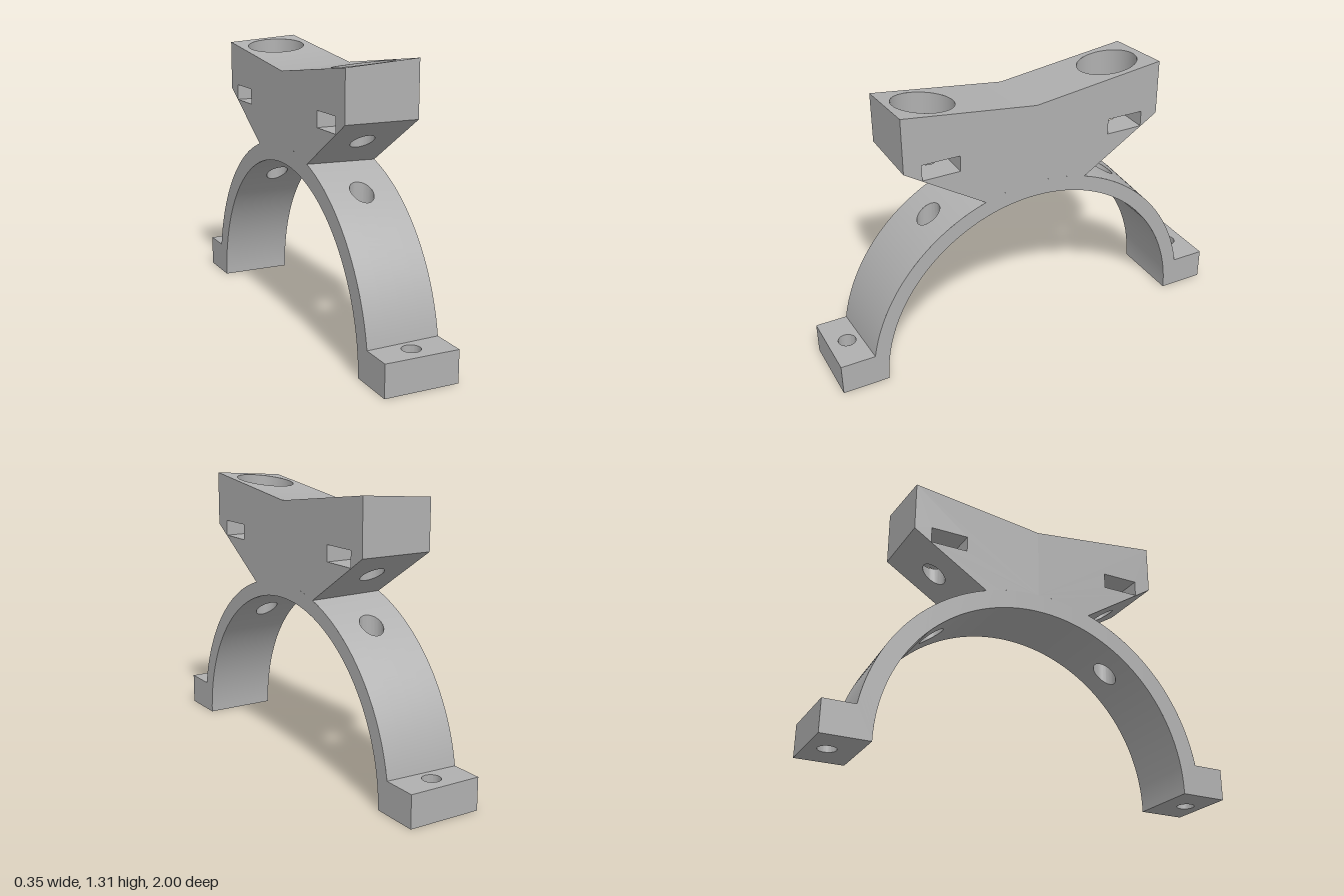
import * as THREE from 'three';
import { mergeGeometries, toCreasedNormals } from 'three/addons/utils/BufferGeometryUtils.js';

const W = 0.175;                 // half width
const RI = 0.775;                // inner arch radius
const FOOT = 0.15;               // foot height
const BOLT = 0.466, FOOT_BOLT = 0.908; // hole centres along z
const R_BOLT = 0.054, R_BORE = 0.14, R_FOOT = 0.042;
const BORE_Y = 1.13;             // counterbore floor
const S0 = 0.376, S1 = 0.556, SY0 = 1.0, SY1 = 1.075; // slot
const END = 0.64, M = 0.6316, C = 0.646; // head end and underside line

const lerp = THREE.MathUtils.lerp;
const inner = () => RI;
const outer = (x) => 0.8555 - 0.043 * x; // outside tapers slightly across the width
const arcY = (R) => (x, z) => Math.sqrt(Math.max(0, R(x) ** 2 - z * z));
const under = (x, z) => M * z + C;
const top = (x, z) => 1.2175 + 0.0714 * x + 0.125 * z;
const flat = (y) => () => y;
const footZ = (x) => Math.sqrt(outer(x) ** 2 - FOOT ** 2);
const neckZ = (x) => { // where the head underside meets the arch
  const a = 1 + M * M, b = 2 * M * C, c = C * C - outer(x) ** 2;
  return (-b + Math.sqrt(b * b - 4 * a * c)) / (2 * a);
};
const UP = [0, 1, 0], DOWN = [0, -1, 0], OUT = [0, 0, 1], IN = [0, 0, -1];

function positions(list) {
  const g = new THREE.BufferGeometry();
  g.setAttribute('position', new THREE.Float32BufferAttribute(list, 3));
  return g;
}

// Grid of points fn(u, v), wound so that its first face looks toward `out`
function surface(fn, nu, nv, out) {
  const tris = [];
  for (let i = 0; i < nu; i++) for (let j = 0; j < nv; j++) {
    const [a, b, c, d] = [[i, j], [i + 1, j], [i + 1, j + 1], [i, j + 1]].map(([p, q]) => fn(p / nu, q / nv));
    tris.push([a, b, c], [a, c, d]);
  }
  const [a, b, c] = tris[0].map((p) => new THREE.Vector3(...p));
  const n = b.sub(a).cross(c.sub(a));
  if (n.dot(new THREE.Vector3(...out)) < 0) tris.forEach((t) => t.reverse());
  return positions(tris.flat(2));
}

// Full-width sheet between two lines, each given as x -> [y, z]
const sheet = (a, b, out) => surface((u, v) => {
  const x = lerp(-W, W, u), p = a(x), q = b(x);
  return [x, lerp(p[0], q[0], v), lerp(p[1], q[1], v)];
}, 4, 1, out);

// Full-width band of the height rule y(x, z) between two z lines
const band = (y, z0, z1, out) => sheet((x) => [y(x, z0(x)), z0(x)], (x) => [y(x, z1(x)), z1(x)], out);

// Full-width curved band of a cylinder of radius R(x)
const arcBand = (R, z0, z1, out, n) => surface((u, v) => {
  const x = lerp(-W, W, u), r = R(x);
  const a = lerp(Math.acos(Math.min(1, z0(x) / r)), Math.acos(Math.min(1, z1(x) / r)), v);
  return [x, r * Math.sin(a), r * Math.cos(a)];
}, 4, n, out);

// Full-width patch with a round hole, lying on y(x, z)
function holed(y, z0, z1, zc, r, out) {
  const corners = [[W, z0], [W, z1], [-W, z1], [-W, z0]];
  return surface((u, v) => {
    const s = u * 4, k = Math.floor(s) % 4, f = s - Math.floor(s);
    const p = corners[k], q = corners[(k + 1) % 4];
    const ox = lerp(p[0], q[0], f), oz = lerp(p[1], q[1], f);
    const a = Math.atan2(oz - zc, ox);
    const x = lerp(r * Math.cos(a), ox, v), z = lerp(zc + r * Math.sin(a), oz, v);
    return [x, y(x, z), z];
  }, 64, 5, out);
}

// Vertical hole wall between two height rules
const wall = (zc, r, y0, y1) => surface((u, v) => {
  const a = u * Math.PI * 2, x = r * Math.cos(a), z = zc + r * Math.sin(a);
  return [x, lerp(y0(x, z), y1(x, z), v), z];
}, 48, 1, [-1, 0, 0]);

// Flat side face of the head at x, with the slot opening
function headSide(x) {
  const n = neckZ(x), shape = new THREE.Shape();
  shape.moveTo(0, top(x, 0)).lineTo(0, outer(x));
  for (let i = 1; i <= 8; i++) shape.lineTo(n * i / 8, arcY(outer)(x, n * i / 8));
  shape.lineTo(END, under(x, END)).lineTo(END, top(x, END)).closePath();
  shape.holes.push(new THREE.Path().moveTo(S0, SY0).lineTo(S1, SY0).lineTo(S1, SY1).lineTo(S0, SY1).closePath());
  const p = new THREE.ShapeGeometry(shape).toNonIndexed().attributes.position;
  const pts = [];
  for (let i = 0; i < p.count; i++) pts.push([x, p.getY(i), p.getX(i)]);
  if (x > 0) for (let i = 0; i < pts.length; i += 3) [pts[i], pts[i + 2]] = [pts[i + 2], pts[i]];
  return positions(pts.flat());
}

// Side face of the arch at x
const archSide = (x) => surface((u, v) => {
  const R = outer(x), h = Math.PI / 2;
  const ai = lerp(0, h, u), ao = lerp(Math.asin(FOOT / R), h, u);
  return [x, lerp(RI * Math.sin(ai), R * Math.sin(ao), v), lerp(RI * Math.cos(ai), R * Math.cos(ao), v)];
}, 40, 1, [x, 0, 0]);

// Side face of a foot at x
const footSide = (x) => surface((u, v) => [x, v * FOOT, lerp(lerp(RI, footZ(x), v), 1, u)], 1, 1, [x, 0, 0]);

// Mirror front pieces to the back
function mirrored(g) {
  const p = g.attributes.position, list = [];
  for (let i = 0; i < p.count; i += 3)
    for (const k of [i, i + 2, i + 1]) list.push(p.getX(k), p.getY(k), -p.getZ(k));
  return positions(list);
}

export function createModel() {
  const group = new THREE.Group();
  const grey = new THREE.MeshStandardMaterial({ color: 0xb0b0b0, side: THREE.DoubleSide });
  grey.name = 'plain grey';
  const add = (name, pieces) => {
    const g = toCreasedNormals(mergeGeometries(pieces), 0.5);
    const mesh = new THREE.Mesh(g, grey);
    mesh.name = name;
    group.add(mesh);
  };
  const both = (pieces) => [...pieces, ...pieces.map(mirrored)];
  const A = 0.38, B = 0.55; // patch around the arch bolt holes

  // Half-ring arch with bolt holes
  add('arch', both([
    arcBand(inner, flat(0), flat(A), DOWN, 12),
    holed(arcY(inner), A, B, BOLT, R_BOLT, DOWN),
    arcBand(inner, flat(B), flat(RI), IN, 24),
    arcBand(outer, neckZ, flat(A), UP, 6),
    holed(arcY(outer), A, B, BOLT, R_BOLT, UP),
    arcBand(outer, flat(B), footZ, OUT, 24),
    wall(BOLT, R_BOLT, arcY(inner), arcY(outer)),
    archSide(W), archSide(-W),
  ]));

  // Saddle head with counterbores, bolt holes and side slots
  add('head', both([
    headSide(W), headSide(-W),
    band(top, flat(0), flat(0.29), UP),
    holed(top, 0.29, END, BOLT, R_BORE, UP),
    sheet((x) => [under(x, END), END], (x) => [top(x, END), END], OUT),
    band(under, neckZ, flat(A), DOWN),
    holed(under, A, B, BOLT, R_BOLT, DOWN),
    band(under, flat(B), flat(END), DOWN),
    wall(BOLT, R_BORE, flat(BORE_Y), top),
    surface((u, v) => {
      const a = u * Math.PI * 2, r = lerp(R_BOLT, R_BORE, v);
      return [r * Math.cos(a), BORE_Y, BOLT + r * Math.sin(a)];
    }, 48, 1, UP),
    wall(BOLT, R_BOLT, flat(SY1), flat(BORE_Y)),
    wall(BOLT, R_BOLT, under, flat(SY0)),
    holed(flat(SY0), S0, S1, BOLT, R_BOLT, UP),
    holed(flat(SY1), S0, S1, BOLT, R_BOLT, DOWN),
    sheet(() => [SY0, S0], () => [SY1, S0], OUT),
    sheet(() => [SY0, S1], () => [SY1, S1], IN),
  ]));

  // Mounting feet
  const foot = [
    footSide(W), footSide(-W),
    band(flat(FOOT), footZ, flat(0.856), UP),
    holed(flat(FOOT), 0.856, 1, FOOT_BOLT, R_FOOT, UP),
    holed(flat(0), RI, 1, FOOT_BOLT, R_FOOT, DOWN),
    sheet(() => [0, 1], () => [FOOT, 1], OUT),
    wall(FOOT_BOLT, R_FOOT, flat(0), flat(FOOT)),
  ];
  add('frontFoot', foot);
  add('backFoot', foot.map(mirrored));
  return group;
}
